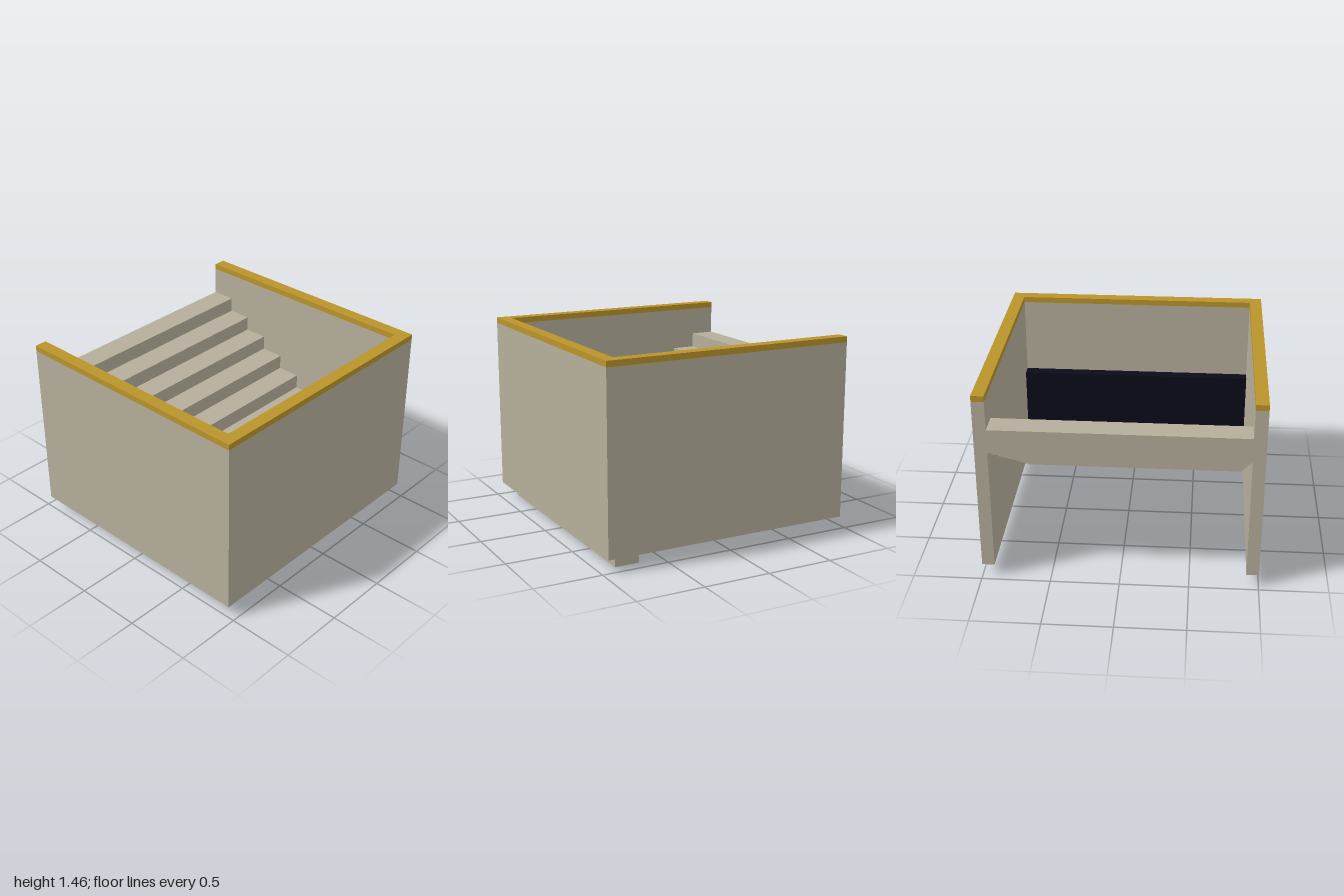
import * as THREE from 'three';

export function createModel() {
  const model = new THREE.Group();
  model.name = 'stairwell';

  const stone = new THREE.MeshStandardMaterial({ color: 0xb5ae9b });
  stone.name = 'stone';
  const gold = new THREE.MeshStandardMaterial({ color: 0xba942b });
  gold.name = 'gold trim';
  const dark = new THREE.MeshStandardMaterial({ color: 0x0a0a1a });
  dark.name = 'dark opening';

  // Box given by its min and max corners
  function box(name, material, [x0, y0, z0], [x1, y1, z1]) {
    const mesh = new THREE.Mesh(new THREE.BoxGeometry(x1 - x0, y1 - y0, z1 - z0), material);
    mesh.position.set((x0 + x1) / 2, (y0 + y1) / 2, (z0 + z1) / 2);
    mesh.name = name;
    model.add(mesh);
  }

  const D = 0.955, IN = 0.909, FRONT = 0.864;
  const BASE = 0.095, RIM = 1.412, TOP = 1.455;

  // Three walls with a trim rail on top, open at the back
  for (const [part, material, y0, y1] of [['Wall', stone, BASE, RIM], ['Rail', gold, RIM, TOP]]) {
    box('left' + part, material, [IN, y0, -D], [1, y1, D]);
    box('right' + part, material, [-1, y0, -D], [-IN, y1, D]);
    box('front' + part, material, [-IN, y0, FRONT], [IN, y1, D]);
  }

  // Overlapping block steps, descending from back to front
  const STEPS = 10, RUN = (FRONT + D) / STEPS, THICK = 0.182, RISE = 0.113;
  for (let i = 0; i < STEPS; i++) {
    const y = (STEPS - 1 - i) * RISE, z = -D + i * RUN;
    box('step' + (i + 1), stone, [-IN, y, z], [IN, y + THICK, z + RUN]);
  }

  // Dark passage at the foot of the stairs
  box('darkOpening', dark, [-IN, THICK, 0.773], [IN, 0.823, FRONT]);

  return model;
}
